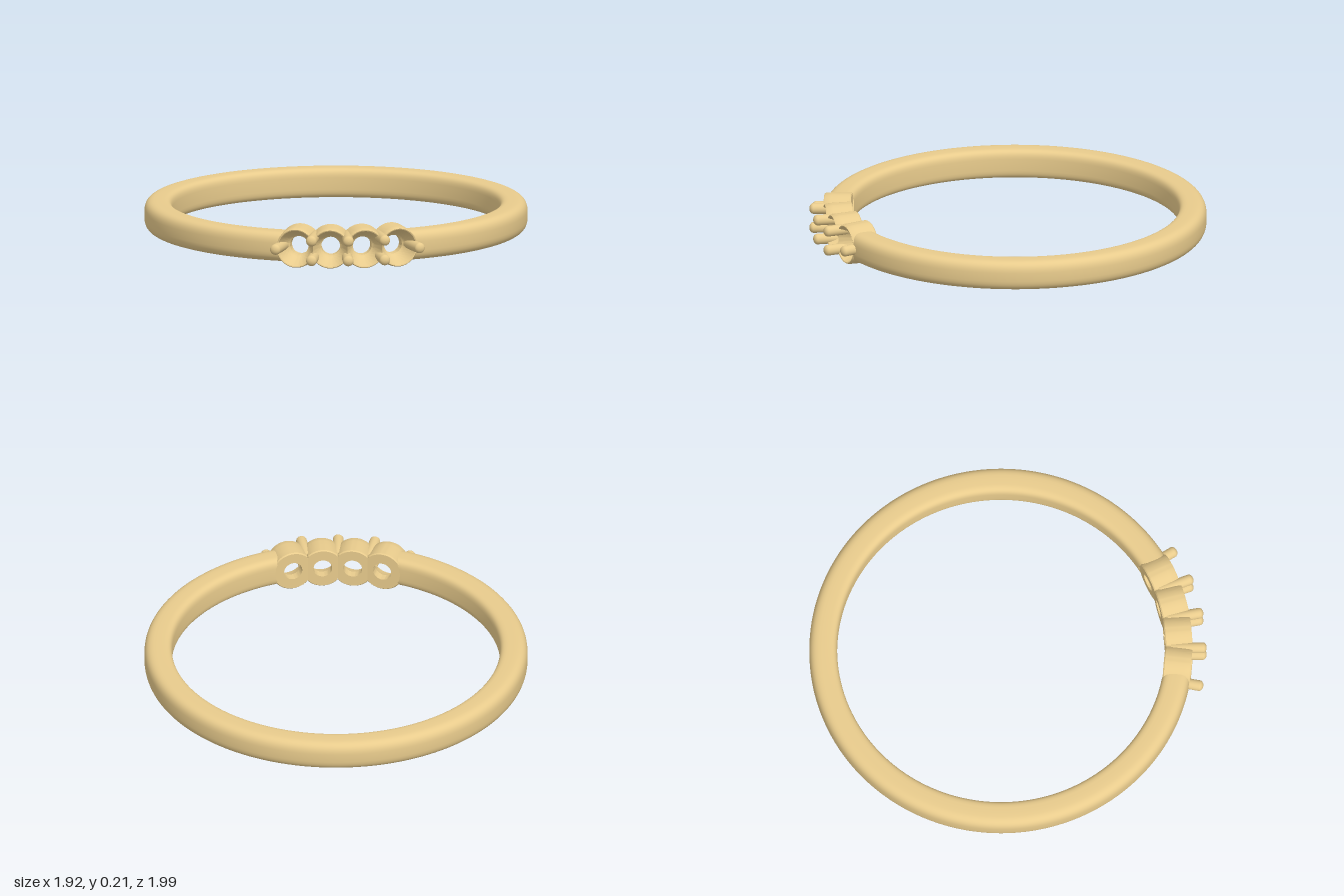
import * as THREE from 'three';
import { toCreasedNormals } from 'three/addons/utils/BufferGeometryUtils.js';

const STEP = THREE.MathUtils.degToRad(10.5); // angle between neighbouring cups
const INNER = 0.82, OUTER = 0.96;            // band radii
const gold = new THREE.MeshStandardMaterial({ color: 0xe8cb8c, side: THREE.DoubleSide });

// Soft-cornered band section swept round the ring; its ends follow the outer cups' walls
function bandGeometry() {
  const around = 40, along = 180, pos = [], index = [];
  const power = (v, n) => Math.sign(v) * Math.abs(v) ** (2 / n);
  for (let i = 0; i <= along; i++) {
    for (let j = 0; j < around; j++) {
      const t = (j / around) * Math.PI * 2;
      const n = Math.cos(t) > 0 ? 3 : 4;
      const r = (INNER + OUTER) / 2 + 0.07 * power(Math.cos(t), n);
      const y = 0.076 * power(Math.sin(t), n);
      const start = STEP * 1.5 + Math.asin(Math.sqrt(0.095 ** 2 - y * y) / r);
      const a = start + (i / along) * (Math.PI * 2 - 2 * start);
      pos.push(r * Math.sin(a), y, r * Math.cos(a));
      if (i < along) {
        const p = i * around + j, q = i * around + (j + 1) % around;
        index.push(p, p + around, q, q, p + around, q + around);
      }
    }
  }
  const g = new THREE.BufferGeometry();
  g.setAttribute('position', new THREE.Float32BufferAttribute(pos, 3));
  g.setIndex(index);
  g.computeVertexNormals();
  return g;
}

// Bowl of a cup: height (distance from the ring's centre) at a given radius
const SEAT = 0.865, HOLE = 0.047, LIP = 0.09;
const bowlHeight = r => SEAT + (0.955 - SEAT) * Math.max(0, (r - HOLE) / (LIP - HOLE)) ** 1.4;

// Drilled cup, trimmed flat and scalloped where it meets a neighbour
function cupGeometry(trimLeft, trimRight) {
  const pts = [[HOLE, INNER], [0.1, INNER], [0.105, INNER + 0.006], [0.104, 0.87],
    [0.102, 0.92], [0.099, 0.95], [0.095, 0.957]];
  for (let i = 10; i >= 0; i--) {
    const r = HOLE + (LIP - HOLE) * i / 10;
    pts.push([r, bowlHeight(r)]);
  }
  pts.push([HOLE, INNER]);
  const g = new THREE.LatheGeometry(pts.map(p => new THREE.Vector2(...p)), 72);
  const p = g.attributes.position;
  for (let i = 0; i < p.count; i++) {
    let x = p.getX(i), y = p.getY(i), z = p.getZ(i);
    const trimmed = x > 0 ? trimLeft : trimRight;
    for (let k = 0; k < 3 && trimmed; k++) {
      const limit = y * Math.tan(STEP / 2);
      if (Math.abs(x) < limit - 1e-6) break;
      const s = limit / Math.abs(x);
      x *= s;
      z *= s;
      y = Math.min(y, bowlHeight(Math.hypot(x, z)));
    }
    p.setXYZ(i, x, y, z);
  }
  g.rotateX(Math.PI / 2);
  return toCreasedNormals(g, 0.6);
}

// Round-tipped claw pointing away from the ring's centre
function prongGeometry() {
  const r = 0.027, tip = 1.03, base = 0.85;
  const pts = [new THREE.Vector2(0, base), new THREE.Vector2(r, base)];
  for (let i = 0; i <= 6; i++) {
    const a = (i / 6) * Math.PI / 2;
    pts.push(new THREE.Vector2(r * Math.cos(a), tip - 0.02 + 0.02 * Math.sin(a)));
  }
  const g = new THREE.LatheGeometry(pts, 24);
  g.rotateX(Math.PI / 2);
  return g;
}

export function createModel() {
  const model = new THREE.Group();
  model.name = 'ring';
  const add = (name, geometry, angle = 0, y = 0) => {
    const mesh = new THREE.Mesh(geometry, gold);
    mesh.name = name;
    mesh.position.set(0, 0.106 + y, -0.04);
    mesh.rotation.y = angle;
    model.add(mesh);
  };

  add('band', bandGeometry());

  // Four stone cups in a row
  for (let i = 0; i < 4; i++) {
    add('stoneCup', cupGeometry(i < 3, i > 0), (i - 1.5) * STEP);
  }

  // Pairs of prongs between the cups, single prongs at both ends
  const prong = prongGeometry();
  for (let i = -2; i <= 2; i++) {
    const heights = Math.abs(i) === 2 ? [0] : [-0.05, 0.05];
    for (const y of heights) add('prong', prong, i * STEP, y);
  }
  return model;
}
